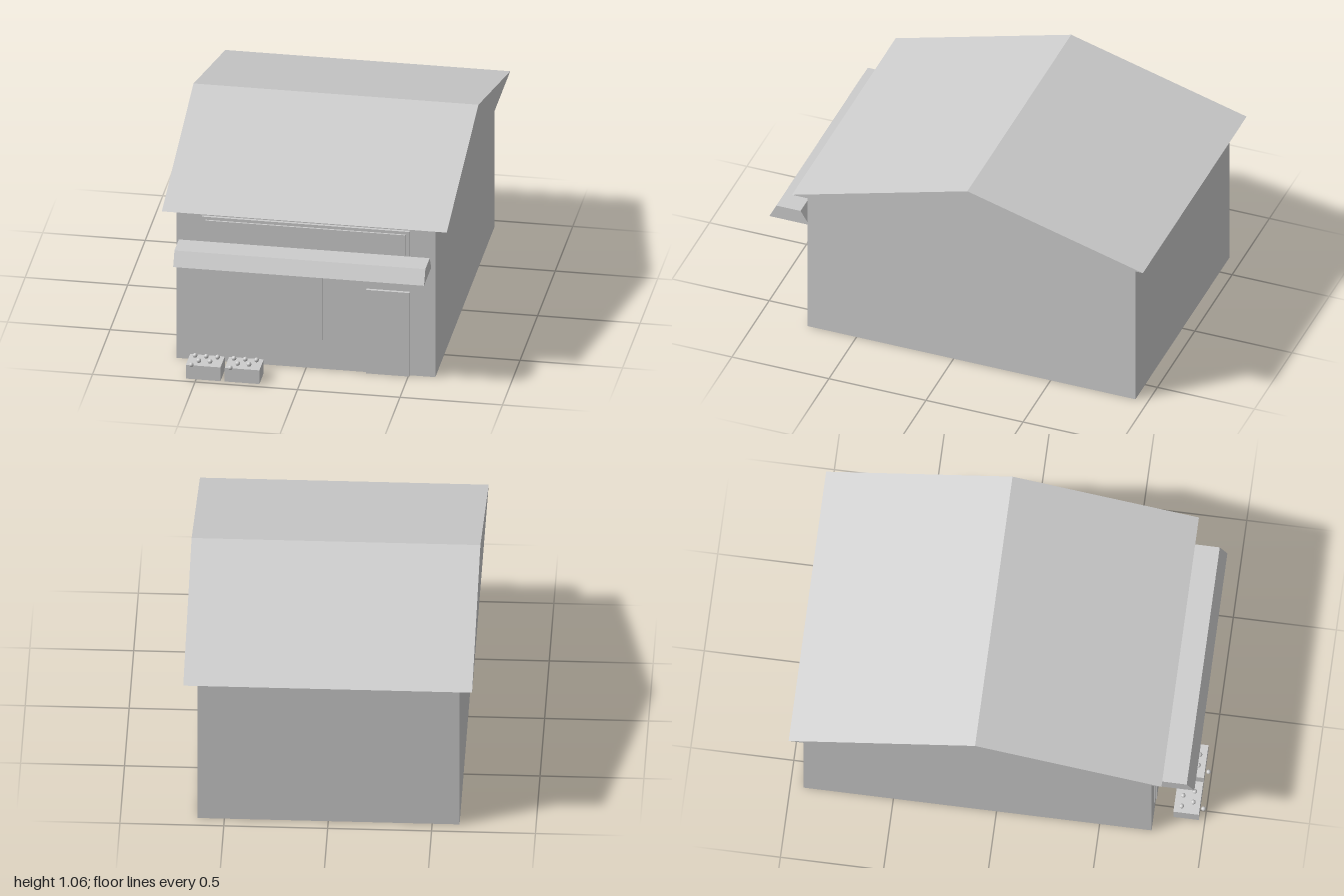
import * as THREE from 'three';

export function createModel() {
  const model = new THREE.Group();
  const grey = new THREE.MeshStandardMaterial({ color: 0xcccccc });
  grey.name = 'plain grey';

  function add(name, geometry, parent = model) {
    const mesh = new THREE.Mesh(geometry, grey);
    mesh.name = name;
    parent.add(mesh);
    return mesh;
  }

  // Box given by its limits on each axis
  function box(name, [x0, x1], [y0, y1], [z0, z1], parent) {
    const g = new THREE.BoxGeometry(x1 - x0, y1 - y0, z1 - z0);
    g.translate((x0 + x1) / 2, (y0 + y1) / 2, (z0 + z1) / 2);
    return add(name, g, parent);
  }

  // Prism along x from a (z, y) outline
  function prism(name, outline, x0, x1) {
    const shape = new THREE.Shape(outline.map(([z, y]) => new THREE.Vector2(-z, y)));
    const g = new THREE.ExtrudeGeometry(shape, { depth: x1 - x0, bevelEnabled: false });
    g.rotateY(Math.PI / 2);
    g.translate(x0, 0, 0);
    return add(name, g);
  }

  // Building shell
  box('walls', [-0.632, 0.63], [0, 0.804], [-0.937, 0.752]);
  prism('gableRoof', [[0.808, 0.804], [-1, 0.804], [-0.096, 1.056]], -0.695, 0.695);

  // Shop front
  box('signFrame', [-0.507, 0.505], [0.635, 0.772], [0.745, 0.767]);
  box('signPanel', [-0.488, 0.487], [0.65, 0.757], [0.745, 0.776]);
  box('windowFrame', [-0.545, 0.079], [0.155, 0.547], [0.745, 0.758]);
  box('windowPane', [-0.53, 0.062], [0.17, 0.53], [0.745, 0.764]);
  box('door', [0.295, 0.505], [0, 0.446], [0.745, 0.767]);
  prism('awning', [[0.957, 0.584], [0.752, 0.584], [0.796, 0.655], [0.92, 0.655]], -0.614, 0.61);

  // Produce crates with staggered rows of fruit: [column, row]
  const layout = [[0, 0], [2, 0], [4, 0], [1, 1], [3, 1], [0, 2]];
  const fruit = new THREE.SphereGeometry(0.0115, 16, 12);
  for (const x of [-0.55, -0.36]) {
    const crate = new THREE.Group();
    crate.name = 'produceCrate';
    model.add(crate);
    box('crateBox', [x, x + 0.169], [0, 0.073], [0.847, 0.97], crate);
    for (const [column, row] of layout) {
      add('fruit', fruit, crate).position.set(x + 0.03 + column * 0.0275, 0.085, 0.883 + row * 0.053);
    }
  }
  return model;
}
